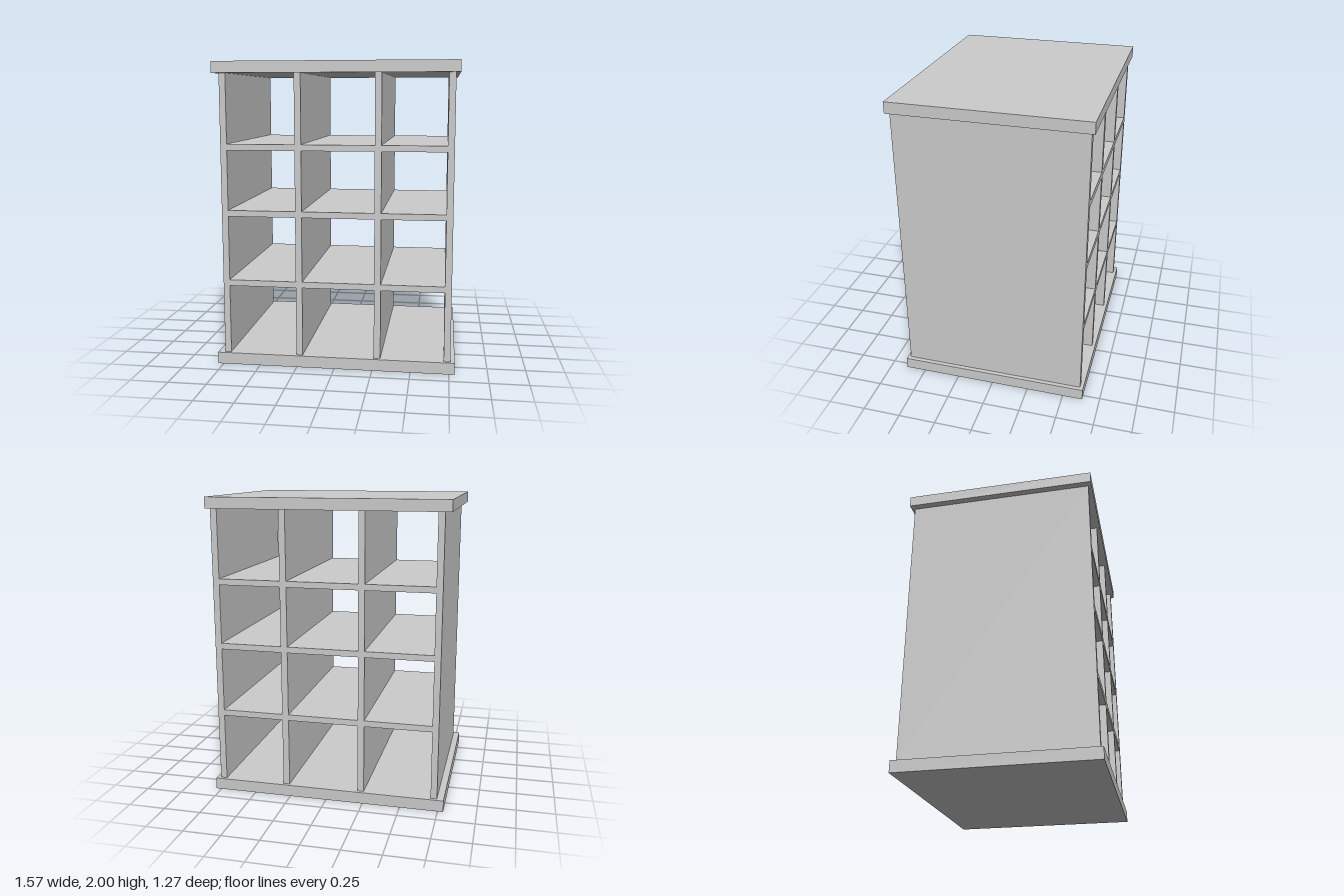
import * as THREE from 'three';

// Open pigeonhole cabinet: two slabs, four uprights, three rows of shelves
export function createModel() {
  const group = new THREE.Group();
  const material = new THREE.MeshStandardMaterial({ color: 0xcccccc, flatShading: true });

  // Box given by its limits on each axis
  const addBoard = (name, [x0, x1], [y0, y1], [z0, z1]) => {
    const mesh = new THREE.Mesh(new THREE.BoxGeometry(x1 - x0, y1 - y0, z1 - z0), material);
    mesh.position.set((x0 + x1) / 2, (y0 + y1) / 2, (z0 + z1) / 2);
    mesh.name = name;
    group.add(mesh);
  };

  const slabX = [-0.787, 0.787];
  const slabZ = [-0.635, 0.635];
  const depth = [-0.613, 0.613];
  const bottom = 0.077, top = 1.926;

  // Overhanging base and top
  addBoard('base', slabX, [0, bottom], slabZ);
  addBoard('top', slabX, [top, 2], slabZ);

  // Side panels and dividers, from the right side to the left
  const uprights = [
    ['rightSide', -0.743, -0.701],
    ['rightDivider', -0.255, -0.213],
    ['leftDivider', 0.26, 0.303],
    ['leftSide', 0.716, 0.759],
  ];
  for (const [name, x0, x1] of uprights) addBoard(name, [x0, x1], [bottom, top], depth);

  // Shelves spanning each bay between neighbouring uprights
  const shelfHeights = [0.554, 1.02, 1.453];
  const shelfHalf = 0.02;
  shelfHeights.forEach((y, row) => {
    for (let bay = 0; bay < uprights.length - 1; bay++) {
      addBoard(`shelfRow${row + 1}Bay${bay + 1}`,
        [uprights[bay][2], uprights[bay + 1][1]], [y - shelfHalf, y + shelfHalf], depth);
    }
  });

  return group;
}
